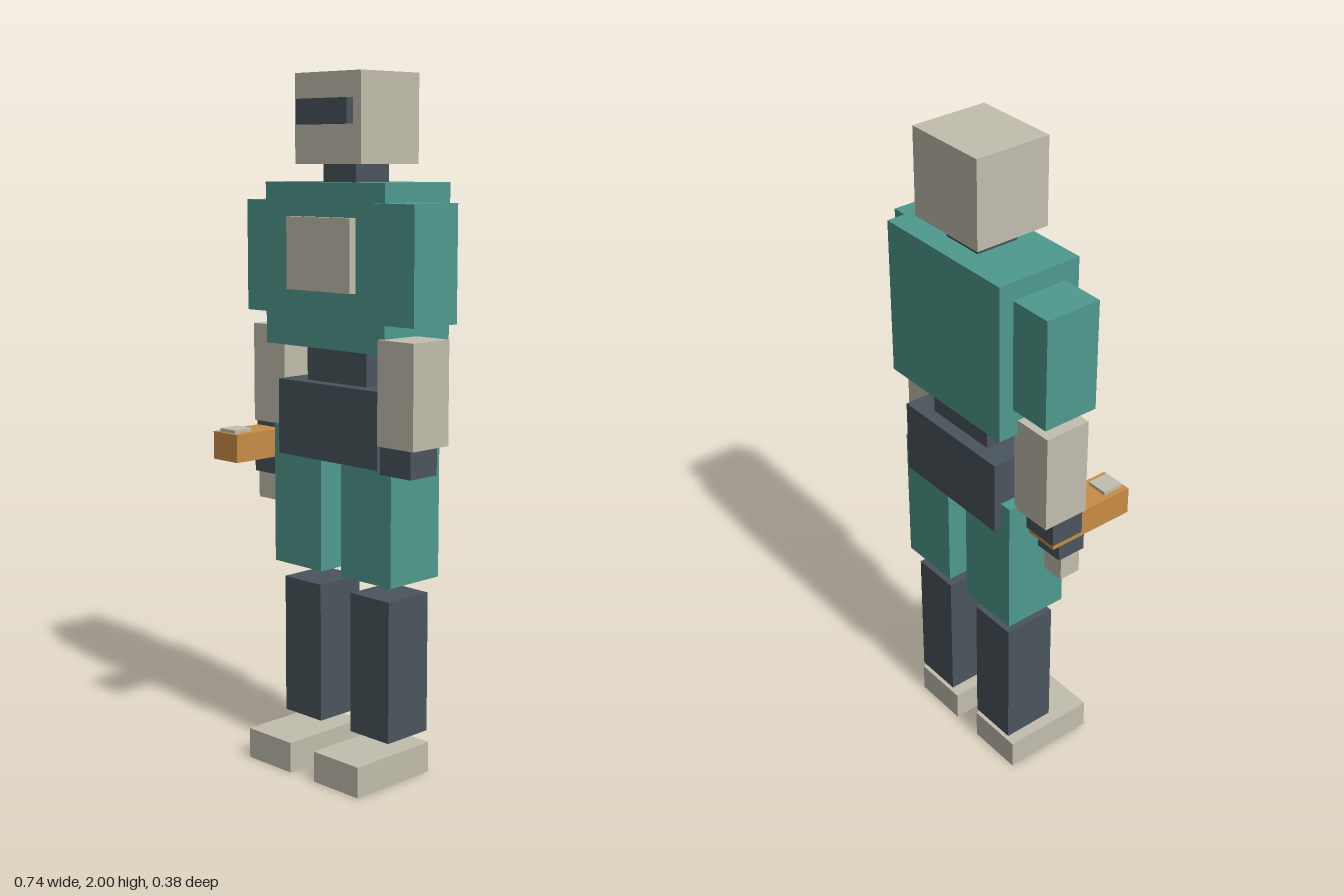
import * as THREE from 'three';

const material = (name, color) => {
  const m = new THREE.MeshStandardMaterial({ color });
  m.name = name;
  return m;
};

export function createModel() {
  const teal = material('teal armour', 0x4e9a8e);
  const bone = material('bone grey', 0xc2beae);
  const slate = material('dark slate', 0x4a555d);
  const amber = material('amber', 0xc98d46);

  const model = new THREE.Group();
  model.name = 'blockRobot';

  // Box given by its extents along each axis
  function block(parent, name, mat, [x0, x1], [y0, y1], [z0, z1]) {
    const mesh = new THREE.Mesh(new THREE.BoxGeometry(x1 - x0, y1 - y0, z1 - z0), mat);
    mesh.position.set((x0 + x1) / 2, (y0 + y1) / 2, (z0 + z1) / 2);
    mesh.name = name;
    parent.add(mesh);
  }
  const group = (name) => {
    const g = new THREE.Group();
    g.name = name;
    model.add(g);
    return g;
  };

  // Head
  const head = group('head');
  block(head, 'skull', bone, [-0.13, 0.13], [1.75, 2], [-0.175, 0.055]);
  block(head, 'visor', slate, [-0.099, 0.099], [1.858, 1.928], [0.045, 0.08]);
  block(head, 'neck', slate, [-0.065, 0.065], [1.69, 1.76], [-0.123, 0.008]);

  // Body
  const body = group('body');
  block(body, 'torso', teal, [-0.236, 0.236], [1.238, 1.7], [-0.19, 0.072]);
  block(body, 'chestPlate', bone, [-0.126, 0.126], [1.4, 1.605], [0.06, 0.095]);
  block(body, 'waist', slate, [-0.119, 0.119], [1.12, 1.25], [-0.138, 0.02]);
  block(body, 'pelvis', slate, [-0.199, 0.199], [0.915, 1.135], [-0.177, 0.06]);

  for (const side of [-1, 1]) {
    const label = side > 0 ? 'left' : 'right';
    const span = (a, b) => (side > 0 ? [a, b] : [-b, -a]);

    // Leg
    const leg = group(label + 'Leg');
    block(leg, 'thigh', teal, span(0.041, 0.236), [0.583, 1], [-0.155, 0.043]);
    block(leg, 'shin', slate, span(0.062, 0.213), [0.12, 0.535], [-0.137, 0.025]);
    block(leg, 'foot', bone, span(0.049, 0.226), [0, 0.09], [-0.13, 0.161]);

    // Arm, the left one swung slightly forward
    const swing = side > 0 ? 0 : -0.072;
    const depth = (a, b) => [a + swing, b + swing];
    const arm = group(label + 'Arm');
    block(arm, 'upperArm', teal, span(0.212, 0.368), [1.323, 1.647], depth(-0.073, 0.098));
    block(arm, 'forearm', bone, span(0.224, 0.357), [0.99, 1.282], depth(-0.056, 0.086));
    block(arm, 'hand', slate, span(0.233, 0.347), [0.912, 0.996], depth(-0.021, 0.084));
  }

  // Handheld tool in the right hand
  const tool = group('tool');
  block(tool, 'toolBody', amber, [-0.343, -0.24], [0.895, 0.977], [-0.088, 0.188]);
  block(tool, 'toolSight', bone, [-0.325, -0.26], [0.97, 0.987], [0.113, 0.178]);
  block(tool, 'toolGrip', slate, [-0.337, -0.248], [0.84, 0.91], [-0.06, 0.03]);
  block(tool, 'toolCell', bone, [-0.329, -0.259], [0.76, 0.85], [-0.045, 0.022]);

  return model;
}
